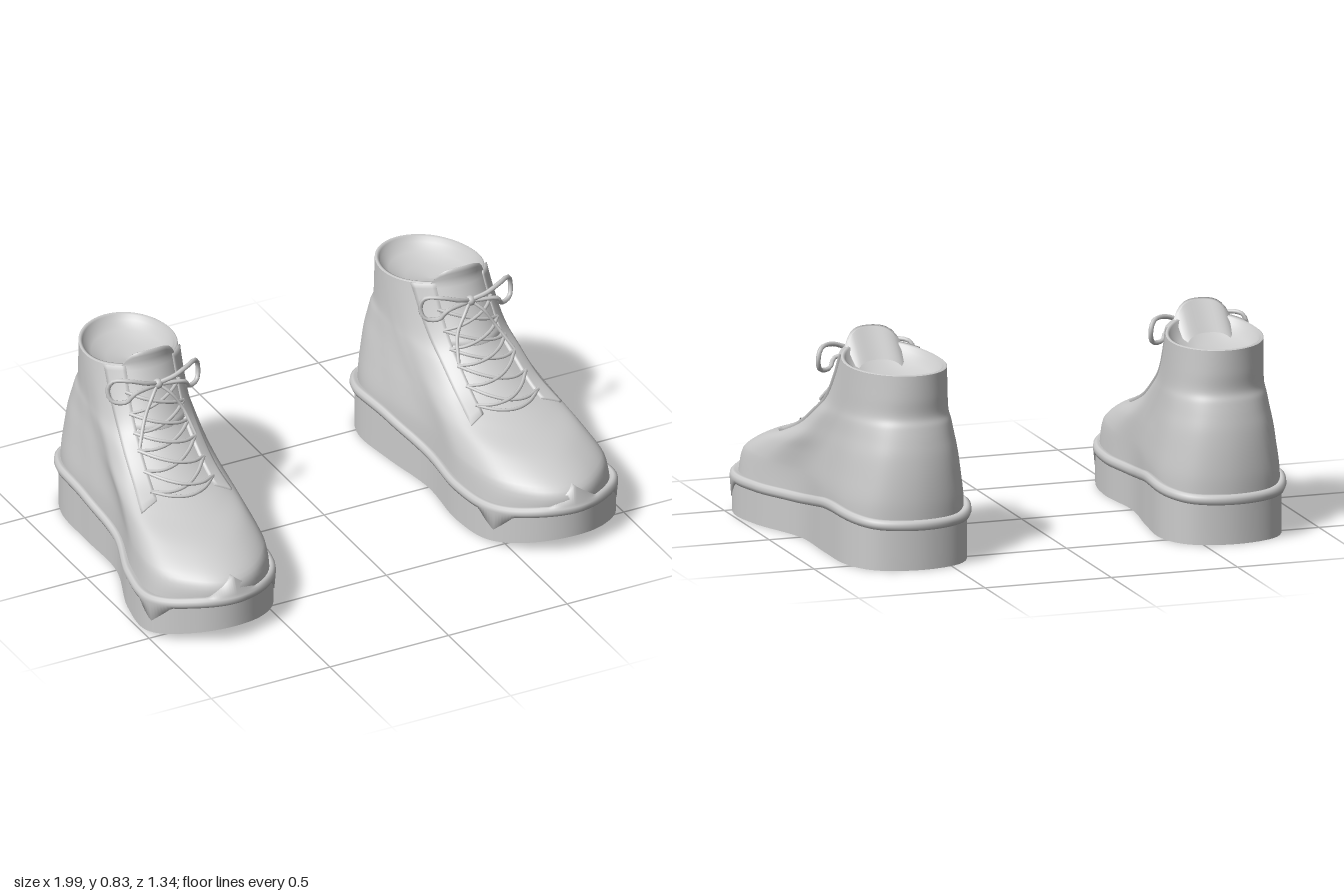
import * as THREE from 'three';

const V = (x, y, z) => new THREE.Vector3(x, y, z);
const mat = new THREE.MeshStandardMaterial({ color: 0xcccccc, side: THREE.DoubleSide });
const lerp = THREE.MathUtils.lerp, clamp = THREE.MathUtils.clamp;
const DEG = 1 / 360;

// smooth lookup through evenly spaced values, f in 0..1
function table(values) {
  const c = new THREE.SplineCurve(values.map((v, i) => new THREE.Vector2(i, v)));
  return f => c.getPoint(clamp(f, 0, 1)).y;
}

// surface from a grid of points; closed grids wrap around in the first direction
function surface(name, nu, nv, fn, closed = false) {
  const pos = [], idx = [], cols = closed ? nu : nu + 1;
  for (let j = 0; j <= nv; j++) for (let i = 0; i < cols; i++) pos.push(...fn(i / nu, j / nv, i, j).toArray());
  for (let j = 0; j < nv; j++) for (let i = 0; i < nu; i++) {
    const i2 = (i + 1) % cols, a = j * cols + i, b = j * cols + i2, c = b + cols, d = a + cols;
    idx.push(a, b, c, a, c, d);
  }
  const g = new THREE.BufferGeometry();
  g.setAttribute('position', new THREE.Float32BufferAttribute(pos, 3));
  g.setIndex(idx);
  g.computeVertexNormals();
  const m = new THREE.Mesh(g, mat);
  m.name = name;
  return m;
}

// sole outline, from toe over the outer side to the heel and back along the inner side
const OUT_X = [0.72, 0.86, 0.985, 0.967, 0.885, 0.885, 0.875, 0.795, 0.62,
  0.45, 0.375, 0.39, 0.43, 0.417, 0.455, 0.575];
const outlineCurve = new THREE.CatmullRomCurve3(
  OUT_X.map((x, i) => V(x, 0, 0.663 * Math.cos(i * Math.PI / 8))), true, 'catmullrom');
const outline = (t, off = 0) => {
  const p = outlineCurve.getPoint(((t % 1) + 1) % 1);
  if (off) {
    const d = outlineCurve.getTangent(((t % 1) + 1) % 1);
    p.x -= d.z * off;
    p.z += d.x * off;
  }
  return p;
};
// side of the sole, nearly flush with the welt at the toe
const soleEdge = t => outline(t, lerp(-0.013, -0.004, clamp(outline(t).z * 2 + 0.5, 0, 1)));

// top of the welt and toe spring of the sole, by z
const waveTable = table([0.19, 0.205, 0.217, 0.21, 0.188, 0.168, 0.162, 0.16, 0.16, 0.17, 0.195]);
const wave = z => waveTable((z + 0.67) / 1.34);
const spring = z => 0.06 * Math.max(0, (z - 0.35) / 0.31) ** 2;
const tri = (d, w) => Math.max(0, 1 - Math.abs(d) / w);

// rings of the upper, from sole (k = 0) to collar (k = 8)
const ringBackZ = table([-0.64, -0.642, -0.637, -0.627, -0.614, -0.6, -0.587, -0.59, -0.59]);
const ringBackY = table([0.17, 0.25, 0.34, 0.42, 0.48, 0.53, 0.57, 0.64, 0.73]);
const ringFrontZ = table([0.65, 0.637, 0.5, 0.33, 0.2, 0.08, -0.01, -0.08, -0.14]);
const ringFrontY = table([0.17, 0.245, 0.312, 0.355, 0.4, 0.475, 0.55, 0.65, 0.77]);
const ringMorph = table([0, 0.03, 0.18, 0.34, 0.5, 0.64, 0.79, 0.9, 1]);

function upperPoint(t, k) {
  const f = k / 8, w = ringMorph(f), o = outline(t), a = t * Math.PI * 2, c = Math.cos(a);
  const v = lerp((o.z + 0.663) / 1.326, (1 + c) / 2, w);
  const mid = lerp(0.7, 0.655, w), slim = 1 - 0.2 * Math.sin(Math.PI * f) * Math.max(0, c);
  let x = lerp(0.665 + (o.x - 0.665) * 0.93, 0.635 + 0.02 * c + 0.185 * Math.sin(a), w);
  x = mid + (x - mid) * slim;
  const z = lerp(ringBackZ(f), ringFrontZ(f), v);
  let y = lerp(ringBackY(f), ringFrontY(f), Math.max(0, v) ** (1 + k / 4));
  if (k < 1) y += (wave(z) - 0.2) * (1 - k);
  return V(x, y, z);
}

// point lifted off the upper along its normal
function lifted(t, k, h) {
  const e = 0.004, p = upperPoint(t, k);
  const du = upperPoint(t + e, k).sub(upperPoint(t - e, k));
  const dv = upperPoint(t, Math.min(8, k + 0.05)).sub(upperPoint(t, k - 0.05));
  return p.addScaledVector(du.cross(dv).normalize(), h);
}

// thin panel on the upper whose edges drop down to the surface
function panel(name, nu, nv, height, place) {
  return surface(name, nu, nv, (a, b, i, j) => {
    const edge = i === 0 || j === 0 || i === nu || j === nv;
    const u = clamp((i - 1) / (nu - 2), 0, 1), v = clamp((j - 1) / (nv - 2), 0, 1);
    return place(u, v, edge ? -0.004 : height);
  });
}

function cord(name, points, radius = 0.007, closed = false) {
  const c = new THREE.CatmullRomCurve3(points, closed);
  const m = new THREE.Mesh(new THREE.TubeGeometry(c, 28, radius, 6, closed), mat);
  m.name = name;
  return m;
}

function makeBoot() {
  const boot = new THREE.Group();

  // platform sole
  boot.add(surface('soleWall', 160, 3, (t, r) => {
    const p = soleEdge(t);
    p.y = lerp(spring(p.z), wave(p.z) - 0.015, r);
    return p;
  }, true));
  boot.add(surface('outsole', 160, 4, (t, r) => {
    const p = soleEdge(t), q = soleEdge(1 - t);
    p.x = lerp((p.x + q.x) / 2, p.x, r);
    p.y = spring(p.z);
    return p;
  }, true));

  // rolled welt with a pointed tab over the toe and one down each side
  boot.add(surface('welt', 240, 6, (t, r, i, j) => {
    const o = outline(t), top = wave(o.z), thick = 0.036;
    const peak = o.z > 0.5 ? tri(o.x - 0.72, 0.1) : 0, low = top - thick - 0.068 * tri(o.z - 0.48, 0.07) ** 0.9;
    const rows = [[-0.03, low], [-0.001, low], [0.005, top - thick * 0.6], [0.003, top - thick * 0.2],
      [-0.006, top], [-0.014 - 0.008 * peak, top + 0.002 + 0.068 * peak], [-0.055, top - 0.012 + 0.08 * peak]];
    const p = outline(t, rows[j][0]);
    p.y = rows[j][1];
    return p;
  }, true));

  // upper, and the shallow footbed surface closing the collar
  boot.add(surface('upper', 96, 48, (t, f) => upperPoint(t, f * 8), true));
  const lining = [[1, 0], [0.97, 0.004], [0.92, 0], [0.9, -0.02], [0.75, -0.045], [0.45, -0.065], [0, -0.07]];
  boot.add(surface('lining', 96, lining.length - 1, (t, r, i, j) => {
    const p = upperPoint(t, 8), [s, dy] = lining[j];
    const y = lerp(p.y, 0.73, clamp((j - 3) / 3, 0, 1)) + dy;
    return V(0.635 + (p.x - 0.635) * s, y, -0.365 + (p.z + 0.365) * s);
  }, true));

  // tongue rising above the collar and sloping back into it
  const tongueAt = (u, v, h) => {
    const s = u * 2 - 1, p = lifted(s * 35 * DEG, lerp(6, 8, Math.min(1, v * 1.25)), h);
    p.y += 0.055 * Math.max(0, v - 0.8) / 0.2 * (1 - s ** 4);
    return p;
  };
  boot.add(panel('tongue', 16, 16, 0.008, tongueAt));
  boot.add(surface('tongueBack', 16, 5, (u, v) =>
    tongueAt(u, 1, 0.004).add(V(0, -0.11 * v, -0.1 * v))));

  // eyelet panels on both sides of the laces
  for (const s of [-1, 1]) {
    boot.add(panel('eyeletPanel', 8, 24, 0.01, (u, v, h) => {
      const a = s > 0 ? u : 1 - u;
      const deg = lerp(31, 30, v) * (1 - a) + lerp(46, 56, v ** 2) * a;
      return lifted(s * deg * DEG, lerp(lerp(3.5, 2.75, a), 8, v), h);
    }));
  }

  // crossed laces
  const rows = 6, rowK = i => lerp(3.75, 7.2, i / (rows - 1)), edge = 34 * DEG;
  boot.add(cord('lace', [-1, -0.5, 0, 0.5, 1].map(s => lifted(s * edge, rowK(0), 0.01))));
  for (let i = 0; i < rows - 1; i++) for (const s of [-1, 1]) {
    const path = [-1, -0.5, 0, 0.5, 1].map(q =>
      lifted(s * q * edge, lerp(rowK(i), rowK(i + 1), (q + 1) / 2), 0.012 + (1 - q * q) * (s > 0 ? 0.008 : -0.004)));
    boot.add(cord('lace', path));
  }

  // bow: knot, two loops and two loose ends
  const k = lifted(0, 7.35, 0.025);
  const knot = new THREE.Mesh(new THREE.SphereGeometry(0.02, 12, 8), mat);
  knot.name = 'knot';
  knot.position.copy(k);
  boot.add(knot);
  const at = (x, y, z) => V(k.x + x, k.y + y, k.z + z);
  for (const s of [-1, 1]) {
    boot.add(cord('bowLoop', [at(0, 0, 0), at(s * 0.06, 0.025, 0.015), at(s * 0.12, 0.045, 0.005), at(s * 0.175, 0.04, -0.03),
      at(s * 0.19, 0, -0.04), at(s * 0.178, -0.042, -0.025), at(s * 0.13, -0.045, 0), at(s * 0.105, -0.01, 0.015)], 0.009, true));
    boot.add(cord('laceEnd', [at(0, 0, 0), at(s * 0.04, -0.035, 0.03), at(s * 0.08, -0.1, 0.05),
      lifted(s * 32 * DEG, 5.2, 0.025)]));
  }
  return boot;
}

// mirrored copy with its faces turned the right way round
function mirrored(boot) {
  const copy = boot.clone();
  copy.traverse(m => {
    if (!m.isMesh) return;
    m.geometry = m.geometry.clone().scale(-1, 1, 1);
    m.position.x *= -1;
    const a = m.geometry.index.array;
    for (let i = 0; i < a.length; i += 3) [a[i], a[i + 1]] = [a[i + 1], a[i]];
  });
  return copy;
}

export function createModel() {
  const model = new THREE.Group();
  const left = makeBoot(), right = mirrored(left);
  left.name = 'leftBoot';
  right.name = 'rightBoot';
  model.add(left, right);
  return model;
}
